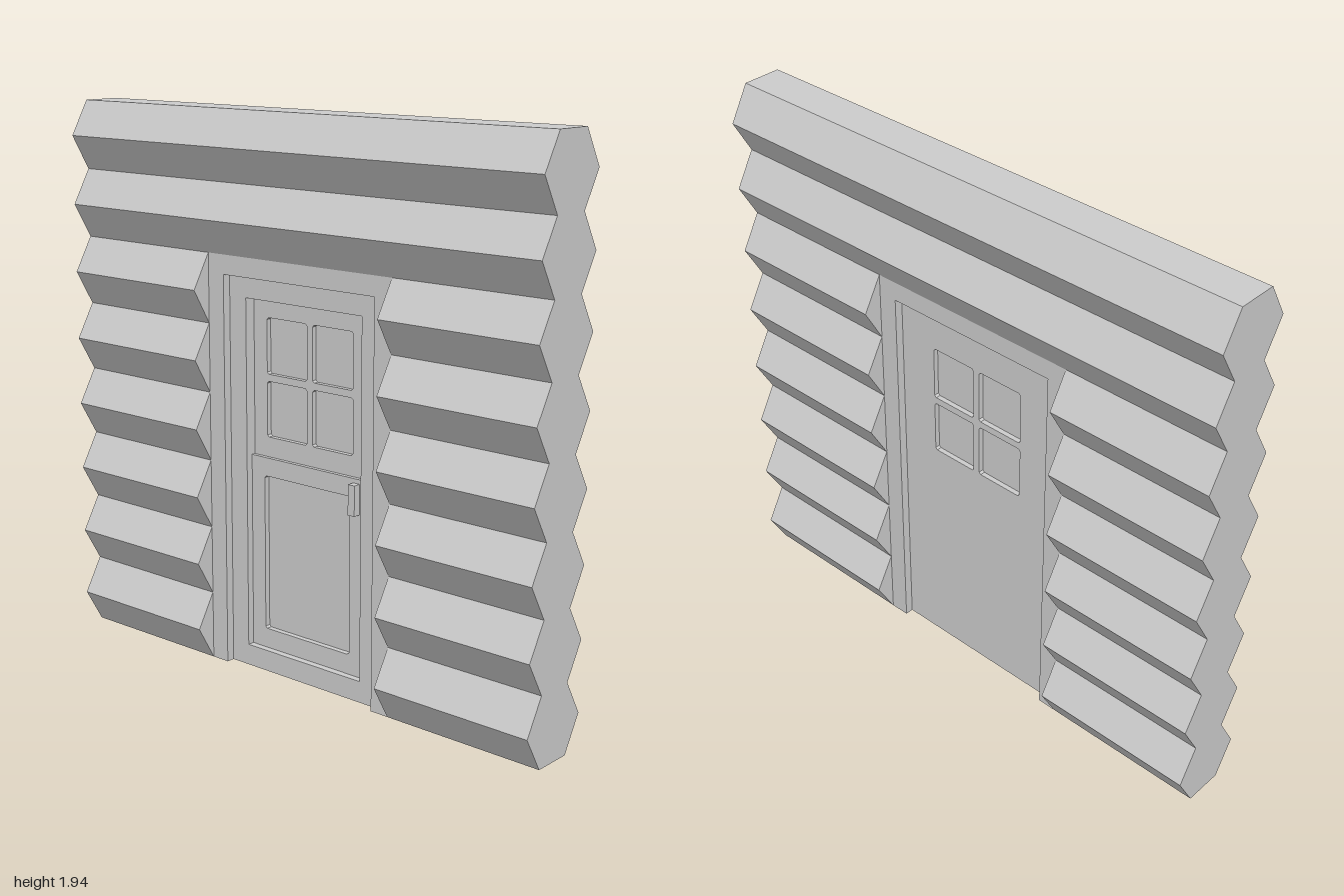
import * as THREE from 'three';

const LOG_H = 0.243, INNER = 0.07, OUTER = 0.14;
const material = new THREE.MeshStandardMaterial({ color: 0xcccccc, flatShading: true });

function addMesh(parent, name, geometry) {
  const mesh = new THREE.Mesh(geometry, material);
  mesh.name = name;
  parent.add(mesh);
  return mesh;
}

// Outline of a rectangle, with optional small chamfered corners
function rect(x0, y0, x1, y1, c = 0, Type = THREE.Shape) {
  const pts = c
    ? [[x0 + c, y0], [x1 - c, y0], [x1, y0 + c], [x1, y1 - c], [x1 - c, y1], [x0 + c, y1], [x0, y1 - c], [x0, y0 + c]]
    : [[x0, y0], [x1, y0], [x1, y1], [x0, y1]];
  return new Type(pts.map(([x, y]) => new THREE.Vector2(x, y)));
}

// Slab from z0 to z1 with openings cut through it
function slab(shape, z0, z1, holes = []) {
  shape.holes.push(...holes);
  return new THREE.ExtrudeGeometry(shape, { depth: z1 - z0, bevelEnabled: false }).translate(0, 0, z0);
}

// Stack of hexagonal logs running along x
function logStack(x0, x1, y0, count) {
  const side = [new THREE.Vector2(INNER, y0)];
  for (let i = 0; i < count; i++) {
    side.push(new THREE.Vector2(OUTER, y0 + (i + 0.5) * LOG_H));
    side.push(new THREE.Vector2(INNER, y0 + (i + 1) * LOG_H));
  }
  const other = side.map(p => new THREE.Vector2(-p.x, p.y)).reverse();
  return slab(new THREE.Shape([...side, ...other]), x0, x1).rotateY(Math.PI / 2);
}

export function createModel() {
  const model = new THREE.Group();
  model.name = 'logWallWithDoor';

  // Log wall: short logs beside the door, full logs above it
  addMesh(model, 'rightLogs', logStack(-1, -0.4, 0, 6));
  addMesh(model, 'leftLogs', logStack(0.4, 1, 0, 6));
  addMesh(model, 'upperLogs', logStack(-1, 1, 6 * LOG_H, 2));

  // Door frame, open at the bottom
  const top = 6 * LOG_H;
  const frame = new THREE.Shape([
    [-0.4, 0], [-0.33, 0], [-0.33, 1.39], [0.33, 1.39],
    [0.33, 0], [0.4, 0], [0.4, top], [-0.4, top],
  ].map(([x, y]) => new THREE.Vector2(x, y)));
  addMesh(model, 'doorFrame', slab(frame, -INNER, INNER));

  // Door leaf
  const door = new THREE.Group();
  door.name = 'door';
  model.add(door);
  const back = -0.04;
  addMesh(door, 'doorRim', slab(rect(-0.33, 0, 0.33, 1.39), back, 0.04,
    [rect(-0.255, 0.075, 0.255, 1.315, 0, THREE.Path)]));

  // Upper half with four panes
  const panes = [];
  for (const [x0, x1] of [[-0.195, -0.015], [0.01, 0.187]])
    for (const [y0, y1] of [[0.835, 1.03], [1.055, 1.25]])
      panes.push(rect(x0, y0, x1, y1, 0.007, THREE.Path));
  addMesh(door, 'upperHalf', slab(rect(-0.255, 0.765, 0.255, 1.315), back, 0, panes));
  addMesh(door, 'windowPanes', slab(rect(-0.2, 0.83, 0.19, 1.255), -0.022, -0.018));

  // Lower half with a sunken panel
  addMesh(door, 'lowerPanel', slab(rect(-0.255, 0.075, 0.255, 0.765), back, -0.005));
  addMesh(door, 'lowerHalf', slab(rect(-0.255, 0.075, 0.255, 0.765), -0.005, 0.015,
    [rect(-0.195, 0.145, 0.187, 0.7, 0.007, THREE.Path)]));

  // Handle
  addMesh(door, 'handle', slab(rect(0.202, 0.645, 0.23, 0.75), 0.015, 0.042));

  return model;
}
